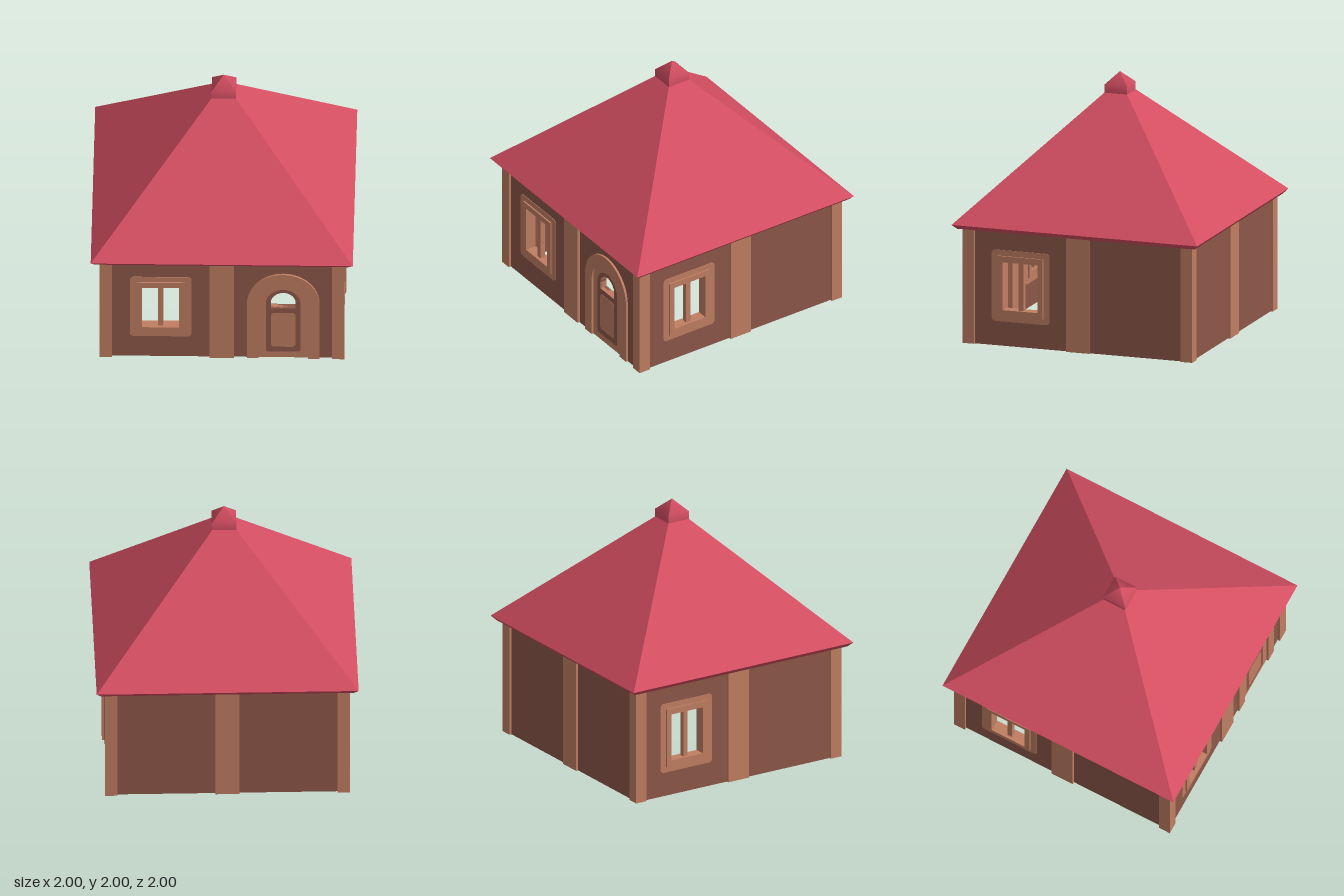
import * as THREE from 'three';
import { toCreasedNormals } from 'three/addons/utils/BufferGeometryUtils.js';

const wallMat = new THREE.MeshStandardMaterial({ name: 'dark timber', color: 0x8e5749 });
const trimMat = new THREE.MeshStandardMaterial({ name: 'light timber', color: 0xc07e62 });
const roofMat = new THREE.MeshStandardMaterial({ name: 'red roof', color: 0xd34e61 });

const MID = 0.887;  // distance of each wall's middle plane from the centre
const BAY = 0.468;  // offset of windows and door from the wall's middle
const EAVE = 0.9;
const SPRING = 0.517; // height where the door arches start

function add(parent, geometry, material, name) {
  const mesh = new THREE.Mesh(geometry, material);
  mesh.name = name;
  parent.add(mesh);
  return mesh;
}

function box(parent, name, material, w, h, d, x, y, z) {
  add(parent, new THREE.BoxGeometry(w, h, d), material, name).position.set(x, y, z);
}

// Rectangle with optional rounded corners, centred on x, y
function rect(Type, x, y, w, h, r = 0) {
  const s = new Type(), l = x - w / 2, b = y - h / 2, R = x + w / 2, t = y + h / 2;
  if (!r) {
    s.moveTo(l, b).lineTo(R, b).lineTo(R, t).lineTo(l, t).closePath();
    return s;
  }
  s.moveTo(l + r, b).lineTo(R - r, b);
  s.absarc(R - r, b + r, r, -Math.PI / 2, 0);
  s.absarc(R - r, t - r, r, 0, Math.PI / 2);
  s.absarc(l + r, t - r, r, Math.PI / 2, Math.PI);
  s.absarc(l + r, b + r, r, Math.PI, Math.PI * 1.5);
  return s;
}

// Round-topped outline, standing on the given bottom height
function arch(Type, radius, bottom) {
  const s = new Type();
  s.moveTo(BAY - radius, bottom).lineTo(BAY + radius, bottom).lineTo(BAY + radius, SPRING);
  s.absarc(BAY, SPRING, radius, 0, Math.PI);
  s.closePath();
  return s;
}

// Plate of the given thickness, centred on the wall's middle plane
function plate(parent, name, material, shape, depth, holes = []) {
  shape.holes.push(...holes);
  const g = new THREE.ExtrudeGeometry(shape, { depth, bevelEnabled: false, curveSegments: 12 });
  g.translate(0, 0, MID - depth / 2);
  add(parent, g, material, name);
}

function addWindow(wall) {
  const w = new THREE.Group();
  w.name = 'window';
  wall.add(w);
  const y = 0.471;
  plate(w, 'windowCasing', trimMat, rect(THREE.Shape, -BAY, y, 0.47, 0.56, 0.03), 0.064,
    [rect(THREE.Path, -BAY, y, 0.36, 0.46)]);
  plate(w, 'windowFrame', trimMat, rect(THREE.Shape, -BAY, y, 0.37, 0.47), 0.088,
    [rect(THREE.Path, -BAY, y, 0.285, 0.375)]);
  box(w, 'windowBar', trimMat, 0.04, 0.38, 0.04, -BAY, y, MID);
}

function addDoor(wall) {
  const d = new THREE.Group();
  d.name = 'door';
  wall.add(d);
  const lunette = () => arch(THREE.Path, 0.095, 0.465);
  // Open-footed casing around the doorway
  const casing = new THREE.Shape();
  casing.moveTo(BAY + 0.1875, 0).lineTo(BAY + 0.277, 0).lineTo(BAY + 0.277, SPRING);
  casing.absarc(BAY, SPRING, 0.277, 0, Math.PI);
  casing.lineTo(BAY - 0.277, 0).lineTo(BAY - 0.1875, 0).lineTo(BAY - 0.1875, SPRING);
  casing.absarc(BAY, SPRING, 0.1875, Math.PI, 0, true);
  casing.closePath();
  plate(d, 'doorCasing', trimMat, casing, 0.09);
  plate(d, 'doorLeaf', trimMat, arch(THREE.Shape, 0.1875, 0), 0.055, [lunette()]);
  // Dark field with rounded foot, and the light panel set on it
  const r = 0.133, field = new THREE.Shape();
  field.moveTo(BAY - r + 0.02, 0.055).lineTo(BAY + r - 0.02, 0.055);
  field.absarc(BAY + r - 0.02, 0.075, 0.02, -Math.PI / 2, 0);
  field.lineTo(BAY + r, SPRING - 0.01);
  field.absarc(BAY, SPRING - 0.01, r, 0, Math.PI);
  field.absarc(BAY - r + 0.02, 0.075, 0.02, Math.PI, Math.PI * 1.5);
  plate(d, 'doorField', wallMat, field, 0.059, [lunette()]);
  plate(d, 'doorPanel', trimMat, rect(THREE.Shape, BAY, 0.262, 0.19, 0.32, 0.03), 0.063);
}

// One side of the house with its middle post and openings
function makeWall(name, hasWindow, hasDoor) {
  const wall = new THREE.Group();
  wall.name = name;
  const outline = new THREE.Shape();
  outline.moveTo(-MID, 0);
  if (hasDoor) {
    outline.lineTo(BAY - 0.2, 0).lineTo(BAY - 0.2, SPRING);
    outline.absarc(BAY, SPRING, 0.2, Math.PI, 0, true);
    outline.lineTo(BAY + 0.2, 0);
  }
  outline.lineTo(MID, 0).lineTo(MID, EAVE).lineTo(-MID, EAVE).closePath();
  plate(wall, 'wallPanel', wallMat, outline, 0.055,
    hasWindow ? [rect(THREE.Path, -BAY, 0.471, 0.35, 0.45)] : []);
  box(wall, 'middlePost', trimMat, 0.186, EAVE, 0.094, 0, EAVE / 2, MID);
  if (hasWindow) addWindow(wall);
  if (hasDoor) addDoor(wall);
  return wall;
}

// Square solid from a profile of [half width, height] points, bottom to top;
// edges sharper than the crease angle stay hard
function squareLathe(profile, crease) {
  const pts = profile.map(([r, y]) => new THREE.Vector2(r * Math.SQRT2, y));
  return toCreasedNormals(new THREE.LatheGeometry(pts, 4, Math.PI / 4), crease);
}

export function createModel() {
  const house = new THREE.Group();
  house.name = 'house';

  const sides = [['frontWall', true, true], ['leftWall', true, false],
    ['backWall', false, false], ['rightWall', true, false]];
  sides.forEach(([name, win, door], i) => {
    const wall = makeWall(name, win, door);
    wall.rotation.y = i * Math.PI / 2;
    house.add(wall);
  });

  for (const x of [-1, 1]) for (const z of [-1, 1]) {
    box(house, 'cornerPost', trimMat, 0.094, EAVE, 0.094, x * MID, EAVE / 2, z * MID);
  }

  // Dark boarding closes the roof from below
  box(house, 'ceiling', wallMat, 1.93, 0.004, 1.93, 0, EAVE + 0.002, 0);
  add(house, squareLathe([[0.966, 0.9], [1, 0.935], [0.092, 1.845]], 0.3), roofMat, 'roof');
  add(house, squareLathe([[0.093, 1.843], [0.093, 1.907], [0, 2]], 0.9), roofMat, 'roofCap');
  return house;
}
